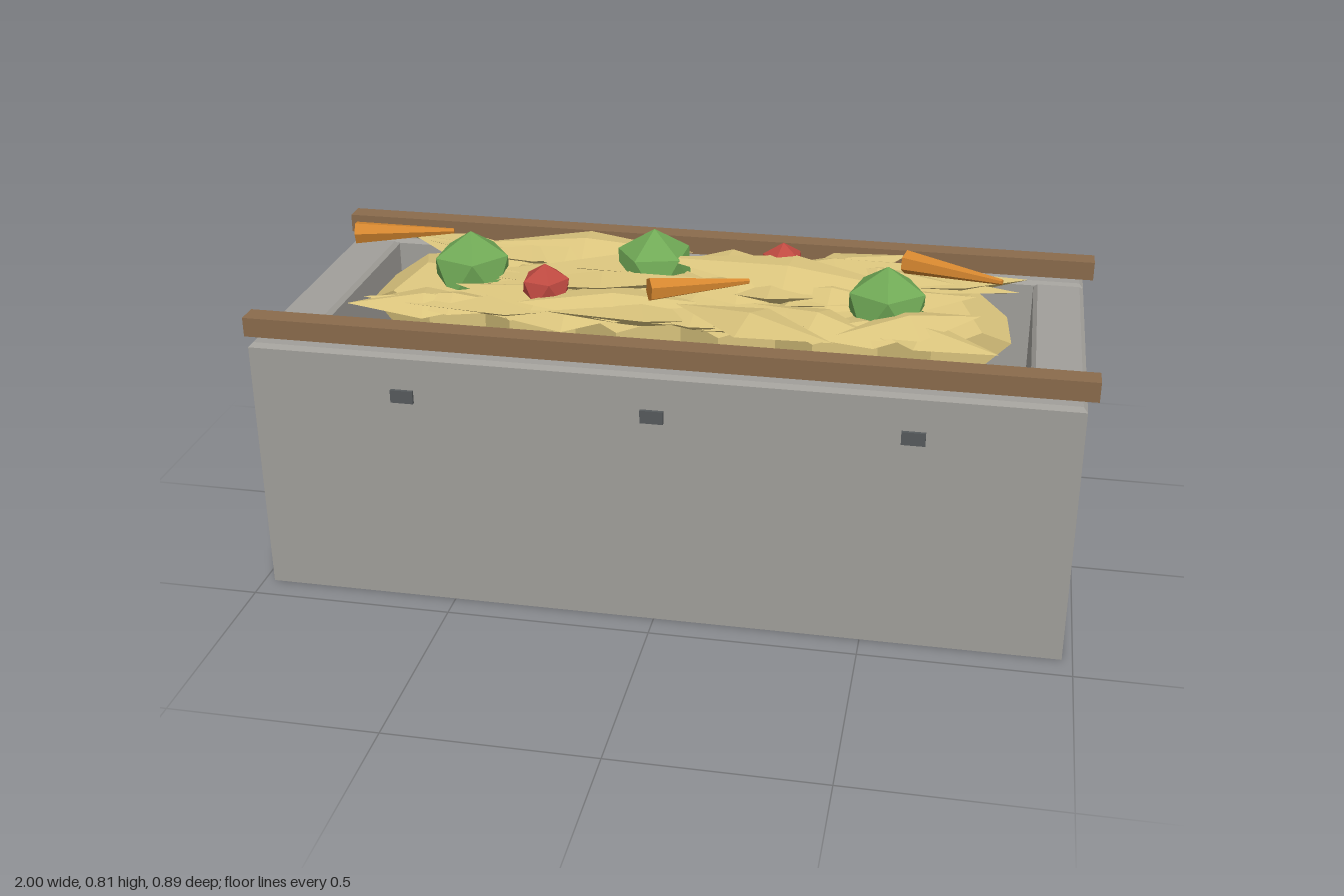
import * as THREE from 'three';

const paint = (name, color) => {
  const m = new THREE.MeshStandardMaterial({ color });
  m.name = name;
  return m;
};

// Upright block with chamfered edges, standing on y0
function chamferedBlock(w, h, d, c = 0.01) {
  const x = w / 2 - c, z = d / 2 - c;
  const s = new THREE.Shape([
    [-x, -z], [x, -z], [x, z], [-x, z],
  ].map(([a, b]) => new THREE.Vector2(a, b)));
  const g = new THREE.ExtrudeGeometry(s, {
    depth: h - 2 * c, bevelEnabled: true, bevelThickness: c, bevelSize: c, bevelSegments: 1,
  });
  g.translate(0, 0, c);
  g.rotateX(-Math.PI / 2);
  return g;
}

// Icosahedron resting with one corner straight up
function pointedBall(r) {
  return new THREE.IcosahedronGeometry(r, 0).rotateX(-Math.atan((1 + Math.sqrt(5)) / 2));
}

export function createModel() {
  const group = new THREE.Group();
  const concrete = paint('concrete', 0xa19f9a);
  const floorGrey = paint('floorGrey', 0x8a8986);
  const wood = paint('wood', 0x8a6b4c);
  const iron = paint('iron', 0x565a5c);
  const hay = paint('hay', 0xd9c37c);
  const green = paint('cabbageGreen', 0x70a956);
  const red = paint('tomatoRed', 0xbf4a41);
  const orange = paint('carrotOrange', 0xd4862f);

  const add = (name, geo, mat, x = 0, y = 0, z = 0) => {
    const m = new THREE.Mesh(geo, mat);
    m.name = name;
    m.position.set(x, y, z);
    group.add(m);
    return m;
  };

  // Trough: solid base and four chamfered walls
  add('base', new THREE.BoxGeometry(1.95, 0.155, 0.87), concrete, 0, 0.0775, 0);
  add('floor', new THREE.BoxGeometry(1.7, 0.006, 0.6), floorGrey, 0, 0.157, 0);
  for (const s of [-1, 1]) {
    add('longWall', chamferedBlock(1.95, 0.512, 0.13), concrete, 0, 0.14, s * 0.37);
    add('endWall', chamferedBlock(0.125, 0.512, 0.598), concrete, s * 0.9125, 0.14, 0);
    add('topRail', new THREE.BoxGeometry(2, 0.048, 0.055), wood, 0, 0.676, s * 0.37);
  }
  // Cross bars running through both long walls
  for (const x of [-0.6, 0, 0.6]) {
    add('crossBar', new THREE.BoxGeometry(0.055, 0.032, 0.886), iron, x, 0.547, 0);
  }

  // Hay: low lumps under a thatch of flat pointed shards
  let seed = 11;
  const rnd = () => (seed = (seed * 16807) % 2147483647) / 2147483647;
  const lump = new THREE.DodecahedronGeometry(1, 0);
  for (let i = 0; i < 6; i++) {
    const m = add('hayLump', lump, hay, -0.6 + i * 0.24, 0.63, (rnd() - 0.5) * 0.04);
    m.scale.set(0.21, 0.08, 0.23);
    m.rotation.y = (rnd() - 0.5) * 0.4;
  }
  const shard = new THREE.OctahedronGeometry(1, 0);
  const addShard = (x, y, z, len, width, yaw, tilt, roll) => {
    const m = add('hayShard', shard, hay, x, y, z);
    m.scale.set(len, 0.028, width);
    m.rotation.set(roll, yaw, tilt, 'YZX');
  };
  for (let i = 0; i < 36; i++) {
    const x = -0.54 + 1.08 * ((i % 12) / 11) + (rnd() - 0.5) * 0.06;
    const row = Math.floor(i / 12) - 1;
    addShard(x, 0.675 + rnd() * 0.03, row * 0.15 + (rnd() - 0.5) * 0.05,
      0.17 + rnd() * 0.09, 0.06 + rnd() * 0.04,
      (rnd() - 0.5) * 0.9, (rnd() - 0.5) * 0.16, (rnd() - 0.5) * 0.5);
  }
  // Long shards that poke out of the pile: centre, size, yaw, tilt, roll
  [
    [0.2, 0.715, 0.24, 0.23, 0.07, -0.5, 0.05, 0.2],
    [0.38, 0.70, -0.2, 0.18, 0.07, 0.65, 0, 0.2],
    [0.66, 0.69, -0.16, 0.18, 0.07, 0.25, 0.03, -0.2],
    [0.6, 0.68, 0.17, 0.19, 0.06, -0.4, 0, 0.2],
    [-0.62, 0.68, 0.18, 0.19, 0.07, 0.2, 0, 0.2],
    [-0.62, 0.69, -0.21, 0.2, 0.07, -0.2, 0, -0.2],
    [0.25, 0.735, -0.03, 0.34, 0.08, -0.08, -0.04, 0.3],
    [-0.2, 0.715, 0.05, 0.3, 0.09, 0.15, 0.03, -0.2],
    [-0.3, 0.71, -0.19, 0.28, 0.08, 0.05, 0, 0.2],
  ].forEach((p) => addShard(...p));

  // Cabbages and tomatoes
  [[-0.55, 0.0, 0.3], [-0.1, -0.1, 0.9], [0.5, 0.055, 0.1]].forEach(([x, z, yaw]) => {
    add('cabbage', pointedBall(0.106), green, x, 0.7, z).rotation.y = yaw;
  });
  [[-0.325, 0.13, 0.065, 0.4], [0.225, -0.12, 0.057, 1]].forEach(([x, z, r, yaw]) => {
    add('tomato', pointedBall(r), red, x, 0.784 - r, z).rotation.y = yaw;
  });

  // Carrots: tapered rods from thick end to tip
  const up = new THREE.Vector3(0, 1, 0);
  [
    [[-0.89, 0.745, -0.095], [-0.64, 0.75, -0.14]],
    [[-0.06, 0.75, 0.165], [0.165, 0.745, 0.055]],
    [[0.53, 0.745, -0.145], [0.77, 0.745, -0.05]],
  ].forEach(([a, b]) => {
    const from = new THREE.Vector3(...a), to = new THREE.Vector3(...b);
    const dir = to.clone().sub(from);
    const geo = new THREE.CylinderGeometry(0.007, 0.03, dir.length(), 6).toNonIndexed();
    geo.computeVertexNormals();
    const m = add('carrot', geo, orange);
    m.position.copy(from).add(to).multiplyScalar(0.5);
    m.quaternion.setFromUnitVectors(up, dir.normalize());
  });

  return group;
}
